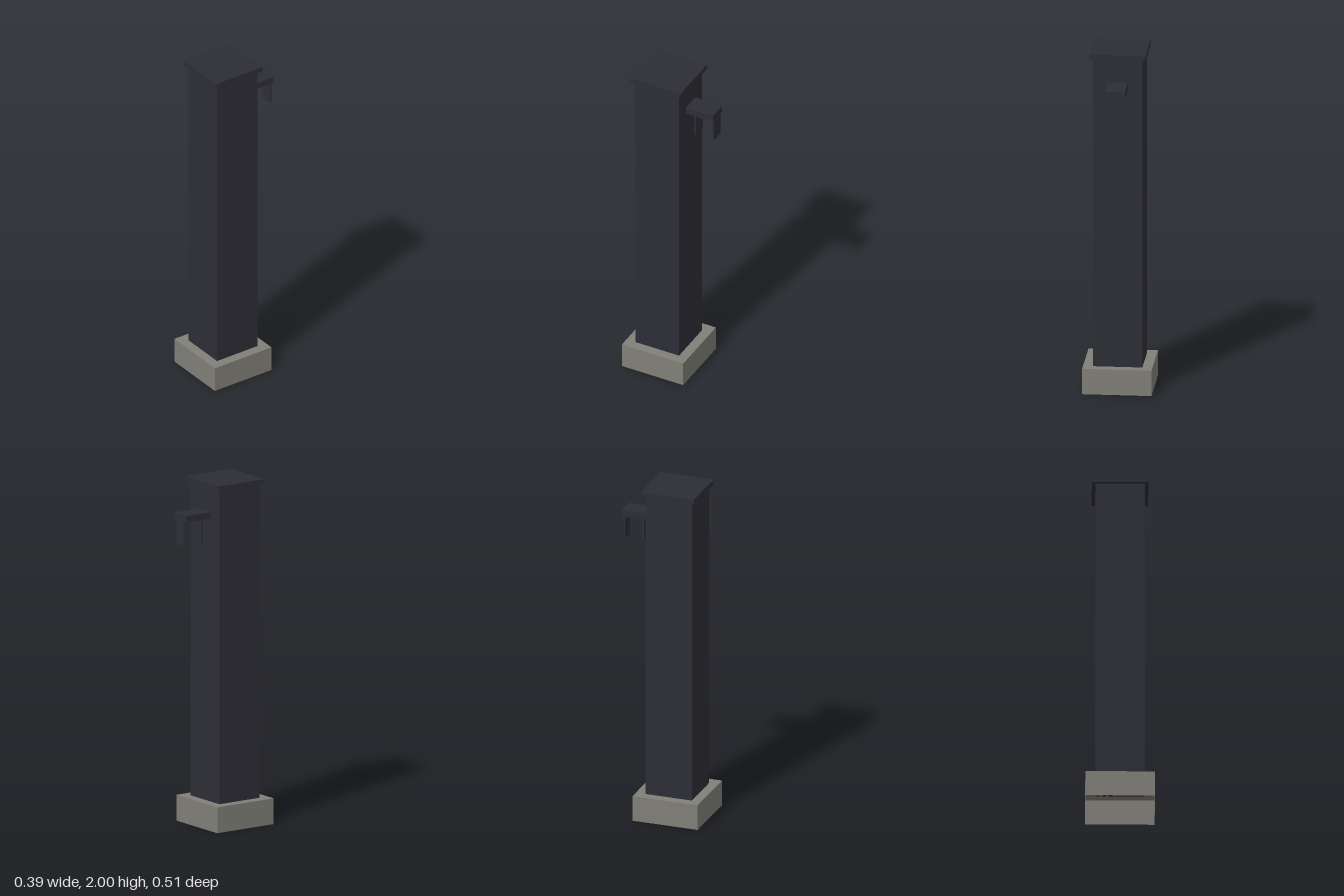
import * as THREE from 'three';

export function createModel() {
  const group = new THREE.Group();
  group.name = 'post';

  const darkMetal = new THREE.MeshStandardMaterial({ color: 0x2d2d36 });
  darkMetal.name = 'darkMetal';
  const stone = new THREE.MeshStandardMaterial({ color: 0x807f77, side: THREE.DoubleSide });
  stone.name = 'stone';

  // Box given by its width and its y and z limits, centred on x
  const addBox = (name, material, width, [y0, y1], [z0, z1]) => {
    const geometry = new THREE.BoxGeometry(width, y1 - y0, z1 - z0);
    const mesh = new THREE.Mesh(geometry, material);
    mesh.position.set(0, (y0 + y1) / 2, (z0 + z1) / 2);
    mesh.name = name;
    group.add(mesh);
    return mesh;
  };

  // Hollow plinth: a box without its bottom face
  const plinth = addBox('plinth', stone, 0.394, [0, 0.15], [-0.139, 0.254]);
  const index = Array.from(plinth.geometry.index.array);
  index.splice(18, 6);
  plinth.geometry.setIndex(index);
  plinth.geometry.clearGroups();

  // Column and cap
  addBox('column', darkMetal, 0.28, [0.15, 1.97], [-0.082, 0.198]);
  addBox('cap', darkMetal, 0.32, [1.97, 2], [-0.102, 0.218]);

  // Bracket on the back with two hanging plates
  addBox('bracketArm', darkMetal, 0.114, [1.79, 1.83], [-0.254, -0.082]);
  for (const [name, z] of [['innerPlate', -0.134], ['outerPlate', -0.248]]) {
    addBox(name, darkMetal, 0.08, [1.65, 1.79], [z - 0.005, z + 0.005]);
  }

  return group;
}
